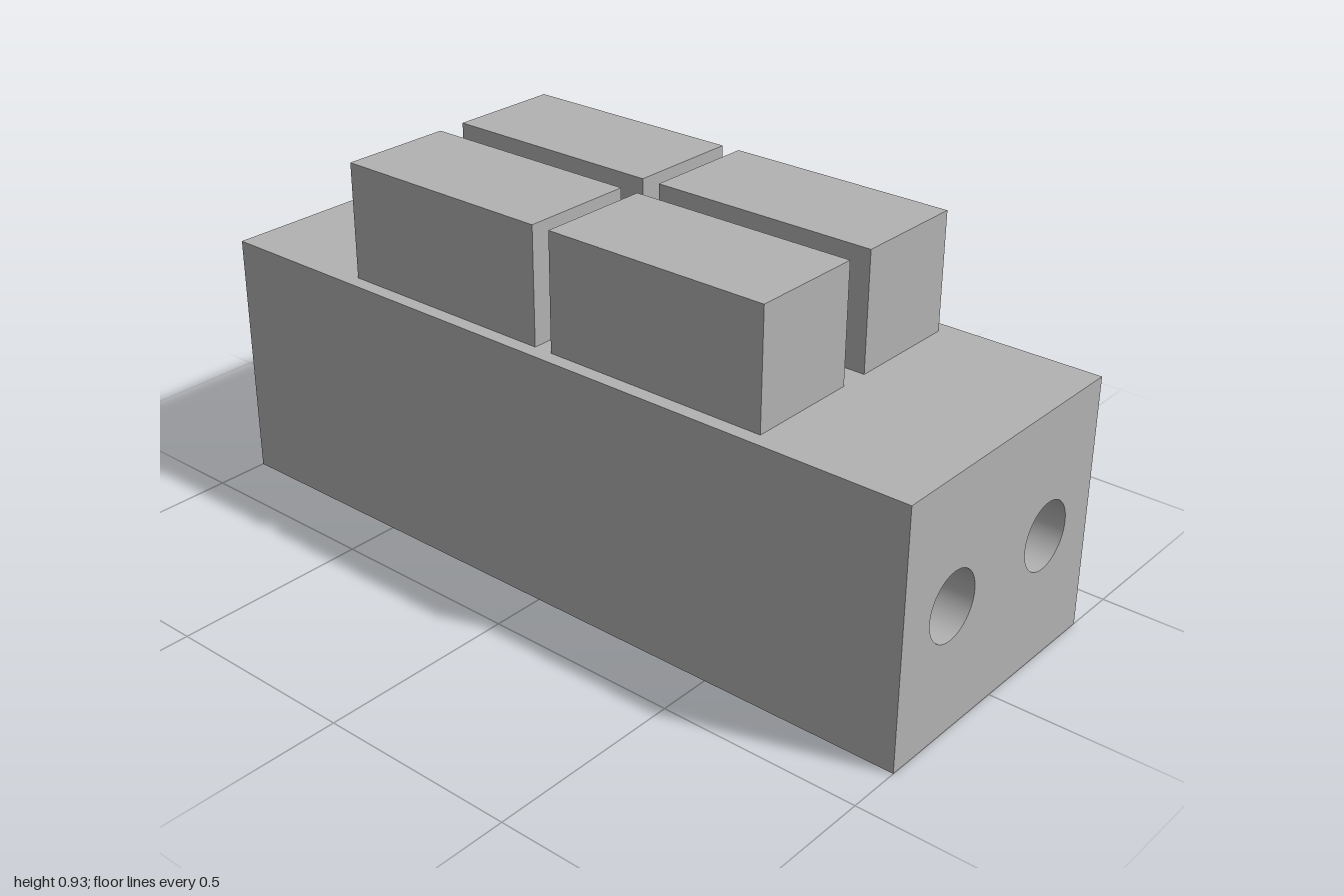
import * as THREE from 'three';
import { toCreasedNormals } from 'three/addons/utils/BufferGeometryUtils.js';

const LENGTH = 2, HEIGHT = 0.635, DEPTH = 0.73;
const HOLE_R = 0.084, HOLE_Z = 0.183, HOLE_DEPTH = 0.36;

export function createModel() {
  const model = new THREE.Group();
  model.name = 'blockWithPads';
  const grey = new THREE.MeshStandardMaterial({ color: 0xb2b2b2 });
  grey.name = 'plain grey';

  const add = (parent, name, geometry) => {
    const mesh = new THREE.Mesh(geometry, grey);
    mesh.name = name;
    parent.add(mesh);
    return mesh;
  };

  // Long sides, top and bottom of the base; the two end faces are dropped
  const sides = new THREE.BoxGeometry(LENGTH, HEIGHT, DEPTH);
  sides.setIndex(Array.from(sides.index.array).slice(12));
  sides.clearGroups();
  add(model, 'baseSides', sides).position.y = HEIGHT / 2;

  // End face pierced by two round holes
  const endShape = new THREE.Shape([
    new THREE.Vector2(-DEPTH / 2, -HEIGHT / 2), new THREE.Vector2(DEPTH / 2, -HEIGHT / 2),
    new THREE.Vector2(DEPTH / 2, HEIGHT / 2), new THREE.Vector2(-DEPTH / 2, HEIGHT / 2),
  ]);
  for (const s of [-1, 1]) {
    endShape.holes.push(new THREE.Path().absarc(s * HOLE_Z, 0, HOLE_R, 0, Math.PI * 2, true));
  }
  const endFace = new THREE.ShapeGeometry(endShape, 24).rotateY(Math.PI / 2);

  // Blind bore, facing inwards, with a flat floor
  const bore = toCreasedNormals(new THREE.LatheGeometry([
    new THREE.Vector2(HOLE_R, 0),
    new THREE.Vector2(HOLE_R, -HOLE_DEPTH),
    new THREE.Vector2(0, -HOLE_DEPTH),
  ], 48), Math.PI / 5).rotateZ(-Math.PI / 2);

  // Both ends
  for (const [name, turn] of [['leftEnd', 0], ['rightEnd', Math.PI]]) {
    const end = new THREE.Group();
    end.name = name;
    end.position.y = HEIGHT / 2;
    end.rotation.y = turn;
    add(end, 'endFace', endFace).position.x = LENGTH / 2;
    for (const s of [-1, 1]) add(end, 'bore', bore).position.set(LENGTH / 2, 0, s * HOLE_Z);
    model.add(end);
  }

  // Four raised pads on top, two by two
  const pad = new THREE.BoxGeometry(0.584, 0.293, 0.291);
  for (const x of [-0.318, 0.314]) {
    for (const z of [-0.183, 0.183]) {
      add(model, 'pad', pad).position.set(x, HEIGHT + 0.1465, z);
    }
  }
  return model;
}
